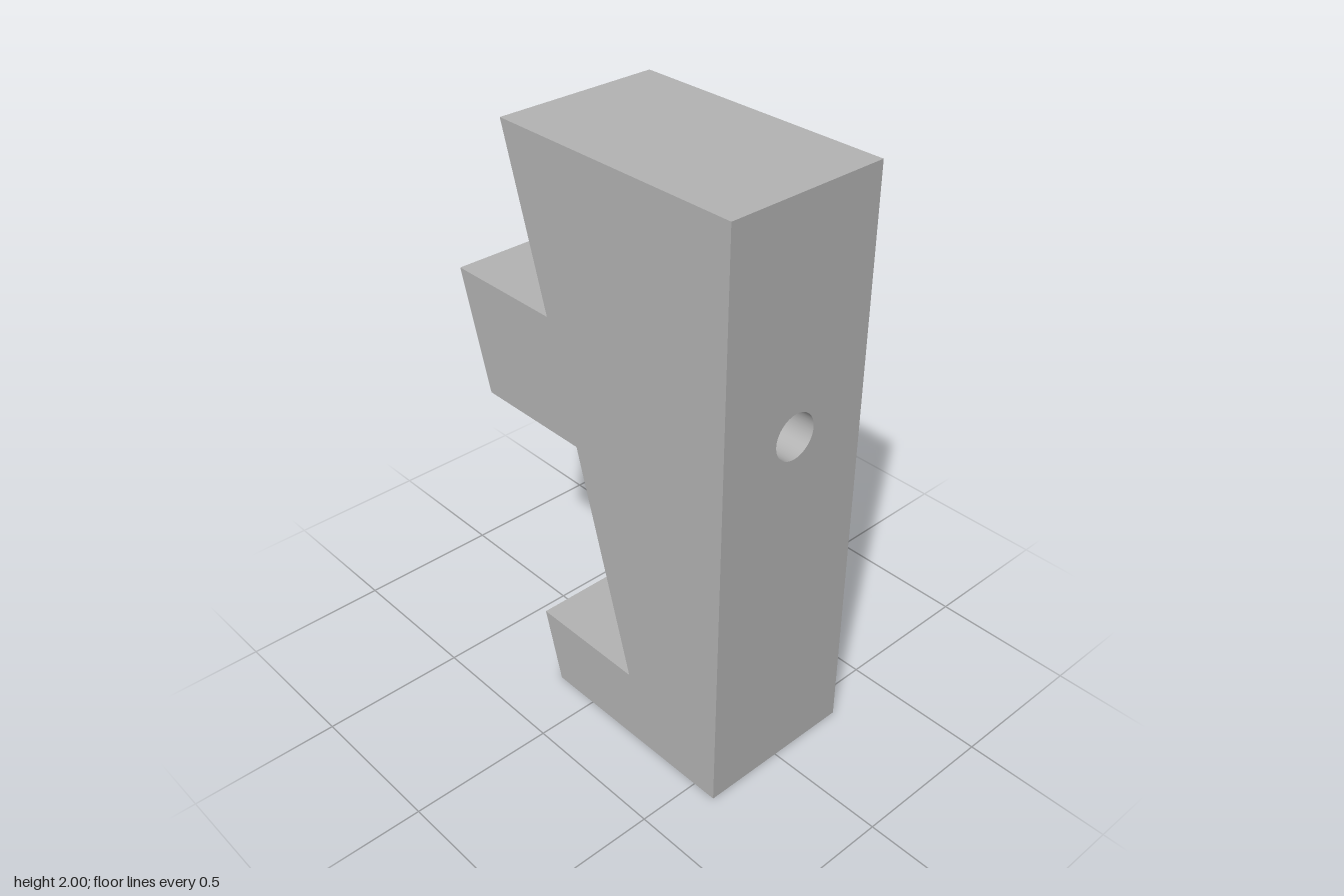
import * as THREE from 'three';
import { toCreasedNormals } from 'three/addons/utils/BufferGeometryUtils.js';

const HALF = 0.283;   // half the depth of the block
const TILT = 0.3;     // sideways lean of the slanted faces and the screw hole
const BORE = 0.077, NUT = 0.136, SIDES = 32;
const ARM_TOP = 1.433, ARM_BOTTOM = 1.03, NUT_TOP = 1.18;

// Outline, counter-clockwise from the foot
const profile = [
  [-0.165, 0], [0.585, 0], [0.585, 2], [-0.33, 2], [-0.157, ARM_TOP],
  [-0.585, ARM_TOP], [-0.465, ARM_BOTTOM], [-0.04, ARM_BOTTOM], [0.19, 0.255], [-0.237, 0.255],
].map(([x, y]) => new THREE.Vector2(x, y));

// Regular polygon with a corner on the second axis
function polygon(n, r, cx = 0) {
  return Array.from({ length: n }, (_, i) => {
    const a = (i / n) * Math.PI * 2;
    return new THREE.Vector2(cx + r * Math.sin(a), r * Math.cos(a));
  });
}

// Flat face whose first axis runs along dir and whose second axis is z
function flatFace(outline, hole, origin, dir) {
  const shape = new THREE.Shape(outline);
  if (hole) shape.holes.push(new THREE.Path(hole));
  const u = new THREE.Vector3(dir.x, dir.y, 0), v = new THREE.Vector3(0, 0, 1);
  const m = new THREE.Matrix4().makeBasis(u, v, u.clone().cross(v));
  m.setPosition(origin.x, origin.y, 0);
  return new THREE.ShapeGeometry(shape).applyMatrix4(m);
}

// Inward-facing hole wall; points run from the mouth downwards
function holeWall(points, sides) {
  const geometry = new THREE.LatheGeometry(points.map(([r, y]) => new THREE.Vector2(r, y)), sides);
  return toCreasedNormals(geometry, 0.6);
}

export function createModel() {
  const group = new THREE.Group();
  const grey = new THREE.MeshStandardMaterial({ color: 0xb3b3b3 });
  const add = (name, geometry) => {
    const mesh = new THREE.Mesh(geometry, grey);
    mesh.name = name;
    group.add(mesh);
    return mesh;
  };

  // Front and back of the block
  const side = new THREE.ShapeGeometry(new THREE.Shape(profile));
  add('frontFace', side).position.z = HALF;
  const back = add('backFace', side.clone().scale(-1, 1, 1).rotateY(Math.PI));
  // the mirrored outline turned half round needs its corners reversed
  back.geometry.index.array.reverse();
  back.geometry.computeVertexNormals();
  back.position.z = -HALF;

  // Edge faces, three of which are pierced
  const centreX = (y) => -0.252 - TILT * (y - ARM_BOTTOM);
  const holes = {
    1: polygon(SIDES, BORE, 1.247),
    4: polygon(SIDES, BORE, profile[4].x - centreX(ARM_TOP)),
    6: polygon(6, NUT, centreX(ARM_BOTTOM) - profile[6].x),
  };
  profile.forEach((a, i) => {
    const b = profile[(i + 1) % profile.length];
    const length = a.distanceTo(b);
    const outline = [[0, -HALF], [length, -HALF], [length, HALF], [0, HALF]]
      .map(([x, y]) => new THREE.Vector2(x, y));
    add('edgeFace' + i, flatFace(outline, holes[i], a, b.clone().sub(a).normalize()));
  });

  // Leaning screw hole through the arm, opening into a six-sided nut pocket
  const lean = new THREE.Matrix4().set(1, -TILT, 0, 0, 0, 1, 0, 0, 0, 0, 1, 0, 0, 0, 0, 1);
  const place = (geometry, y) => geometry.applyMatrix4(lean).translate(centreX(y), y, 0);
  add('screwHole', place(holeWall([[BORE, ARM_TOP - NUT_TOP], [BORE, 0]], SIDES), NUT_TOP));
  add('nutPocket', place(holeWall([[NUT, NUT_TOP - ARM_BOTTOM], [NUT, 0]], 6), ARM_BOTTOM));
  add('nutPocketCeiling', flatFace(polygon(6, NUT), polygon(SIDES, BORE),
    new THREE.Vector2(centreX(NUT_TOP), NUT_TOP), new THREE.Vector2(1, 0)));

  // Blind hole in the flat side
  add('sideHole', holeWall([[BORE, 0], [BORE, -0.5], [0, -0.5]], SIDES)
    .rotateZ(-Math.PI / 2).translate(0.585, 1.247, 0));

  return group;
}
